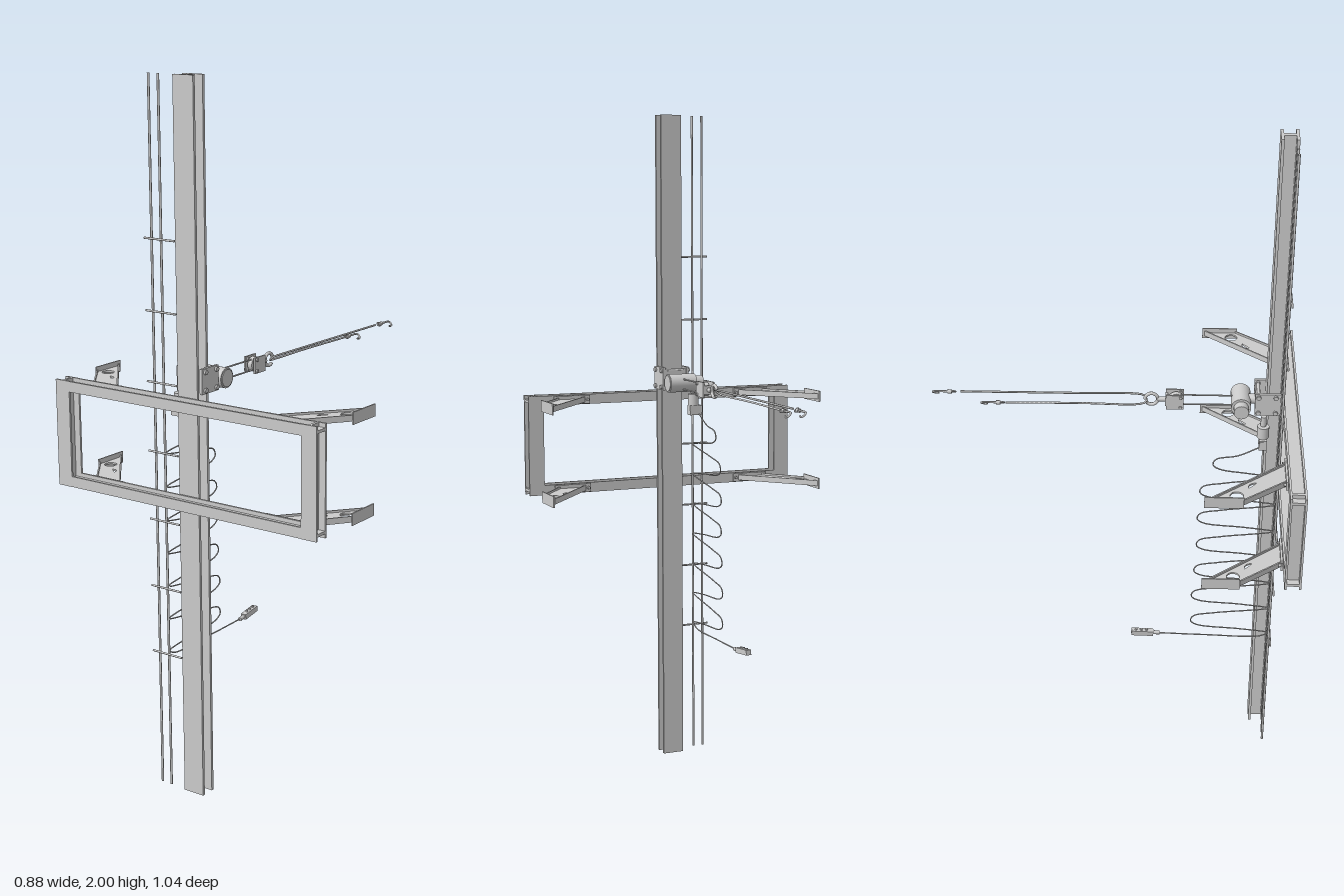
import * as THREE from 'three';

const mat = new THREE.MeshStandardMaterial({ color: 0xcccccc, side: THREE.DoubleSide });
const V = (x, y, z) => new THREE.Vector3(x, y, z);

function add(parent, name, geo, x = 0, y = 0, z = 0) {
  const m = new THREE.Mesh(geo, mat);
  m.name = name;
  m.position.set(x, y, z);
  parent.add(m);
  return m;
}
const box = (p, name, w, h, d, x, y, z) => add(p, name, new THREE.BoxGeometry(w, h, d), x, y, z);

// cylinder along a chosen axis
function cyl(p, name, axis, r, len, x, y, z, seg = 20) {
  const g = new THREE.CylinderGeometry(r, r, len, seg);
  if (axis === 'x') g.rotateZ(Math.PI / 2);
  if (axis === 'z') g.rotateX(Math.PI / 2);
  return add(p, name, g, x, y, z);
}

function tube(p, name, pts, r, seg = 40, sides = 6) {
  const curve = pts.length === 2 ? new THREE.LineCurve3(...pts) : new THREE.CatmullRomCurve3(pts, false, 'centripetal');
  return add(p, name, new THREE.TubeGeometry(curve, seg, r, sides));
}

function polygon(pts) {
  return new THREE.Shape(pts.map(([x, y]) => new THREE.Vector2(x, y)));
}

// H section, flanges facing +z and -z, standing along y and centred
function hBeam(w, d, len, tf, tw) {
  const a = w / 2, b = d / 2, c = b - tf, t = tw / 2;
  const s = polygon([[-a, -b], [a, -b], [a, -c], [t, -c], [t, c], [a, c], [a, b], [-a, b], [-a, c], [-t, c], [-t, -c], [-a, -c]]);
  const g = new THREE.ExtrudeGeometry(s, { depth: len, bevelEnabled: false });
  return g.translate(0, 0, -len / 2).rotateX(-Math.PI / 2);
}

// perforated stay arm for the +x side, centred on its own height
function supportArm(side, y) {
  const g = new THREE.Group();
  g.name = 'supportArm';
  const s = polygon([[0.26, 0.47], [0.345, 0.47], [0.435, 0.35], [0.435, 0.255]]);
  for (const [x, z] of [[0.325, 0.436], [0.366, 0.386], [0.407, 0.336]]) {
    s.holes.push(new THREE.Path().absarc(x, z, 0.018, 0, Math.PI * 2, true));
  }
  const plate = new THREE.ExtrudeGeometry(s, { depth: 0.005, bevelEnabled: false, curveSegments: 16 });
  add(g, 'armPlate', plate.rotateX(Math.PI / 2).translate(0, 0.0025, 0));
  // edge flanges
  for (const [x1, z1, x2, z2] of [[0.26, 0.47, 0.435, 0.257], [0.343, 0.47, 0.435, 0.35]]) {
    const len = Math.hypot(x2 - x1, z2 - z1);
    const m = box(g, 'armFlange', len, 0.017, 0.004, (x1 + x2) / 2, 0, (z1 + z2) / 2);
    m.rotation.y = -Math.atan2(z2 - z1, x2 - x1);
  }
  box(g, 'armEndPlate', 0.004, 0.034, 0.105, 0.436, 0, 0.302);
  box(g, 'armFoot', 0.115, 0.026, 0.006, 0.3, 0, 0.472);
  for (const x of [0.25, 0.35]) cyl(g, 'footBolt', 'z', 0.005, 0.008, x, 0, 0.467, 6);
  // mirror the plate vertices for the other side
  if (side < 0) g.scale.x = -1;
  g.position.y = y;
  return g;
}

function hook(p, x, y, z) {
  const g = new THREE.Group();
  g.name = 'hook';
  const pts = [V(0, 0, 0.035), V(0, 0, 0.008)];
  for (let i = 0; i <= 8; i++) {
    const a = Math.PI - (i / 8) * Math.PI * 1.2;
    pts.push(V(0.009 + 0.009 * Math.cos(a), 0, -0.004 - 0.011 * Math.sin(a)));
  }
  tube(g, 'hookBody', pts, 0.003, 32);
  cyl(g, 'hookCollar', 'z', 0.006, 0.012, 0, 0, 0.034, 10);
  const eye = add(g, 'hookEye', new THREE.TorusGeometry(0.006, 0.0025, 8, 14), 0, 0, 0.045);
  eye.rotation.x = Math.PI / 2;
  g.position.set(x, y, z);
  g.rotation.z = -Math.PI / 4;
  p.add(g);
}

export function createModel() {
  const root = new THREE.Group();
  root.name = 'columnWithWinch';

  // column
  add(root, 'column', hBeam(0.066, 0.048, 2, 0.008, 0.014), -0.012, 1, 0.448);

  // guide rods and their ties
  for (const x of [-0.13, -0.098]) cyl(root, 'guideRod', 'y', 0.0035, 2, x, 1, 0.465, 8);
  for (let i = 0; i < 7; i++) cyl(root, 'rodTie', 'x', 0.003, 0.102, -0.099, 0.4 + i * 0.195, 0.471, 8);

  // rectangular frame
  const frame = new THREE.Group();
  frame.name = 'frame';
  for (const y of [0.866, 1.14]) {
    add(frame, 'frameRail', hBeam(0.03, 0.046, 0.874, 0.006, 0.008), 0, y, 0.499).rotation.z = Math.PI / 2;
  }
  for (const x of [-0.413, 0.413]) add(frame, 'framePost', hBeam(0.048, 0.046, 0.305, 0.006, 0.008), x, 1.003, 0.499);
  root.add(frame);

  // support arms
  for (const side of [-1, 1]) for (const y of [0.866, 1.14]) root.add(supportArm(side, y));

  // clamp around the column
  const clamp = new THREE.Group();
  clamp.name = 'clamp';
  for (const x of [-0.05, 0.027]) {
    box(clamp, 'clampCheek', 0.008, 0.07, 0.072, x, 1.2, 0.428);
    for (const y of [1.175, 1.225]) for (const z of [0.402, 0.45]) cyl(clamp, 'clampBolt', 'x', 0.007, 0.02, x, y, z, 6);
  }
  for (const y of [1.175, 1.225]) cyl(clamp, 'clampRod', 'x', 0.005, 0.09, -0.012, y, 0.402, 8);
  box(clamp, 'clampBack', 0.085, 0.05, 0.012, -0.012, 1.2, 0.399);
  cyl(clamp, 'winchMount', 'z', 0.014, 0.03, -0.012, 1.195, 0.385);
  root.add(clamp);

  // winch motor
  const winch = new THREE.Group();
  winch.name = 'winch';
  cyl(winch, 'winchDrum', 'x', 0.028, 0.085, -0.012, 1.19, 0.354, 28);
  cyl(winch, 'winchMotor', 'x', 0.021, 0.026, -0.067, 1.19, 0.354, 24);
  cyl(winch, 'winchCap', 'x', 0.024, 0.004, 0.031, 1.19, 0.354, 24);
  root.add(winch);

  // hoist rope and pulley block
  for (const y of [1.172, 1.203]) tube(root, 'hoistRope', [V(-0.012, y, 0.345), V(-0.012, y, 0.165)], 0.0025, 1);
  const block = new THREE.Group();
  block.name = 'pulleyBlock';
  cyl(block, 'sheave', 'x', 0.021, 0.014, -0.012, 1.188, 0.172, 24);
  for (const x of [-0.028, 0.004]) {
    box(block, 'blockCheek', 0.005, 0.046, 0.05, x, 1.188, 0.168);
    for (const y of [1.172, 1.204]) cyl(block, 'blockBolt', 'x', 0.005, 0.014, x, y, 0.184, 6);
  }
  box(block, 'blockBridge', 0.034, 0.026, 0.008, -0.012, 1.188, 0.145);
  cyl(block, 'blockSwivel', 'z', 0.007, 0.03, -0.012, 1.188, 0.133, 12);
  const ring = add(block, 'blockHook', new THREE.TorusGeometry(0.018, 0.005, 8, 24, Math.PI * 1.75), -0.012, 1.188, 0.102);
  ring.rotation.y = Math.PI / 2;
  root.add(block);

  // two-leg sling with hooks
  tube(root, 'sling', [V(0, 1.193, -0.44), V(0, 1.195, -0.1), V(0, 1.196, 0.065), V(-0.005, 1.194, 0.084), V(-0.013, 1.187, 0.09),
    V(-0.021, 1.181, 0.084), V(-0.026, 1.178, 0.065), V(-0.026, 1.178, -0.1), V(-0.026, 1.175, -0.31)], 0.003, 70);
  hook(root, 0, 1.192, -0.505);
  hook(root, -0.026, 1.175, -0.365);

  // control cable junction beside the column
  cyl(root, 'junctionDrum', 'y', 0.017, 0.035, -0.08, 1.13, 0.417);
  cyl(root, 'junctionStem', 'y', 0.008, 0.03, -0.08, 1.165, 0.417, 12);
  box(root, 'junctionBox', 0.04, 0.03, 0.022, -0.085, 1.097, 0.417);
  box(root, 'junctionPlug', 0.014, 0.02, 0.018, -0.1, 1.1, 0.417);

  // festooned control cable
  const cable = [V(-0.095, 1.09, 0.417)];
  for (let i = 0; i < 7; i++) {
    const y = 1.03 - i * 0.096, tip = [0.28, 0.245, 0.24, 0.24, 0.235, 0.23, 0.23][i];
    cable.push(V(-0.096, y + 0.026, tip + 0.07), V(-0.096, y + 0.012, tip + 0.008), V(-0.096, y - 0.008, tip));
    cable.push(V(-0.096, y - 0.022, tip + 0.02), V(-0.097, y - 0.034, 0.38), V(-0.098, y - 0.046, 0.462));
  }
  cable.push(V(-0.098, 0.395, 0.44), V(-0.097, 0.394, 0.27), V(-0.096, 0.397, 0.12));
  tube(root, 'controlCable', cable, 0.002, 420, 5);

  // hand control
  const pendant = new THREE.Group();
  pendant.name = 'handControl';
  box(pendant, 'handControlBody', 0.017, 0.016, 0.066, 0, 0, 0);
  cyl(pendant, 'handControlNeck', 'z', 0.006, 0.025, 0, 0, 0.04, 10);
  for (let i = 0; i < 3; i++) cyl(pendant, 'handControlButton', 'y', 0.004, 0.006, 0, 0.009, -0.02 + i * 0.016, 10);
  pendant.position.set(-0.099, 0.401, 0.085);
  pendant.rotation.set(0.09, 0.08, 0);
  root.add(pendant);

  return root;
}
